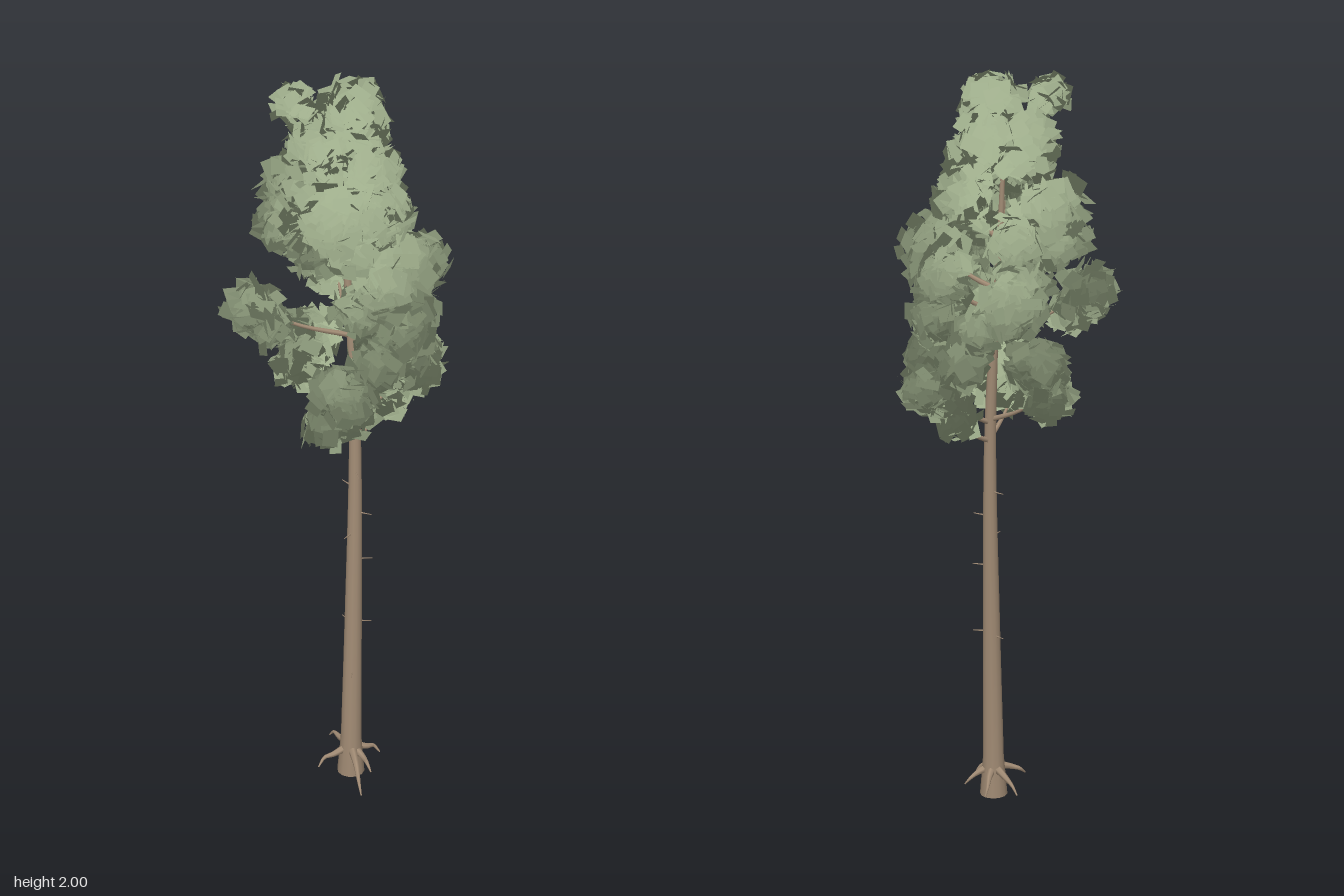
import * as THREE from 'three';
import { mergeGeometries } from 'three/addons/utils/BufferGeometryUtils.js';

const V = (x, y, z) => new THREE.Vector3(x, y, z);

// small seeded random generator
function seeded(seed) {
  return () => {
    seed = (seed * 1664525 + 1013904223) >>> 0;
    return seed / 4294967296;
  };
}

// tube along a smooth path, its radius given by radiusAt(t)
function taperedTube(points, radiusAt, steps, sides) {
  const curve = new THREE.CatmullRomCurve3(points);
  const geo = new THREE.TubeGeometry(curve, steps, 1, sides, false);
  const pos = geo.attributes.position;
  const v = V(0, 0, 0);
  for (let i = 0; i <= steps; i++) {
    const t = i / steps;
    const centre = curve.getPointAt(t);
    for (let j = 0; j <= sides; j++) {
      const k = i * (sides + 1) + j;
      v.fromBufferAttribute(pos, k).sub(centre).multiplyScalar(radiusAt(t)).add(centre);
      pos.setXYZ(k, v.x, v.y, v.z);
    }
  }
  return geo;
}

// trunk path: gentle lean toward +x
const TRUNK = [
  V(-0.05, 0, 0.043), V(-0.049, 0.1, 0.043), V(-0.036, 0.5, 0.04), V(-0.016, 1.0, 0.03),
  V(-0.008, 1.25, 0.015), V(-0.004, 1.55, -0.01), V(-0.01, 1.88, -0.02),
];
function trunkAt(y) {
  let i = 0;
  while (i < TRUNK.length - 2 && TRUNK[i + 1].y < y) i++;
  const a = TRUNK[i], b = TRUNK[i + 1];
  return a.clone().lerp(b, (y - a.y) / (b.y - a.y));
}
const trunkRadius = (t) => 0.004 + 0.026 * (1 - t) + 0.008 * Math.max(0, 1 - t / 0.06);

// foliage clumps: x, y, z, radius
const CLUMPS = [
  [0.0, 1.91, 0.01, 0.09], [0.04, 1.83, 0.0, 0.09], [-0.09, 1.93, -0.1, 0.055],
  [-0.03, 1.8, -0.07, 0.1], [0.0, 1.75, 0.06, 0.09],
  [-0.16, 1.69, 0.08, 0.095], [-0.08, 1.7, 0.11, 0.09], [0.0, 1.66, 0.09, 0.1],
  [-0.1, 1.6, 0.08, 0.08], [0.0, 1.66, -0.17, 0.1], [-0.05, 1.58, -0.16, 0.09],
  [0.04, 1.53, 0.16, 0.105], [-0.05, 1.49, 0.15, 0.095], [0.11, 1.47, 0.09, 0.09],
  [0.13, 1.59, -0.15, 0.08], [0.12, 1.42, -0.14, 0.095], [0.05, 1.48, -0.12, 0.09],
  [-0.2, 1.41, -0.15, 0.08], [-0.17, 1.36, -0.12, 0.065], [-0.07, 1.42, 0.08, 0.07],
  [0.1, 1.36, 0.11, 0.085], [0.02, 1.35, 0.14, 0.095], [-0.04, 1.27, 0.12, 0.085],
  [-0.16, 1.22, 0.1, 0.09], [-0.1, 1.16, 0.07, 0.085], [-0.16, 1.13, 0.05, 0.07],
  [0.08, 1.24, 0.14, 0.09], [0.13, 1.17, 0.07, 0.075], [0.21, 1.2, 0.07, 0.07],
  [0.1, 1.1, 0.05, 0.055], [0.03, 1.25, -0.15, 0.09], [0.0, 1.18, -0.16, 0.08],
  [0.14, 1.26, 0.0, 0.075], [0.14, 1.36, -0.05, 0.07],
];

// one clump of flat leaf cards, facing out of the clump and shaded outward from the crown
const CROWN = V(0, 1.48, 0);
function leafClump([cx, cy, cz, r], seed) {
  const rand = seeded(seed);
  const positions = [], normals = [];
  const centre = V(cx, cy, cz);
  const count = Math.round(15000 * r * r);
  for (let i = 0; i < count; i++) {
    // spread evenly in direction, loosely in depth
    const h = 1 - 2 * (i + 0.5) / count;
    const a = i * 2.39996;
    const s = Math.sqrt(1 - h * h);
    const dir = V(s * Math.cos(a), h, s * Math.sin(a));
    const p = centre.clone().addScaledVector(dir, r * (0.42 + 0.48 * rand()));
    // tangent card with a random tilt and spin
    const face = dir.clone().add(V(rand() - 0.5, rand() - 0.5, rand() - 0.5).multiplyScalar(1.7)).normalize();
    const q = new THREE.Quaternion().setFromUnitVectors(V(0, 0, 1), face);
    const spin = rand() * Math.PI * 2;
    const w = 0.014 + 0.009 * rand(), l = 0.018 + 0.013 * rand();
    const corners = [[-w, -l], [w, -l], [w, l], [-w, l]].map(([x, y]) =>
      V(x, y, 0).applyAxisAngle(V(0, 0, 1), spin).applyQuaternion(q).add(p));
    const n = p.clone().sub(CROWN).multiply(V(1, 0.6, 1)).normalize().addScaledVector(dir, 0.4).normalize();
    for (const k of [0, 1, 2, 0, 2, 3]) {
      positions.push(...corners[k].toArray());
      normals.push(n.x, n.y, n.z);
    }
  }
  const geo = new THREE.BufferGeometry();
  geo.setAttribute('position', new THREE.Float32BufferAttribute(positions, 3));
  geo.setAttribute('normal', new THREE.Float32BufferAttribute(normals, 3));
  return geo;
}

export function createModel() {
  const bark = new THREE.MeshStandardMaterial({ color: 0xa28c75, side: THREE.DoubleSide });
  const leaves = new THREE.MeshStandardMaterial({ color: 0x9dac8a, side: THREE.DoubleSide });
  bark.name = 'bark';
  leaves.name = 'leaves';

  const tree = new THREE.Group();
  tree.name = 'tree';
  const add = (name, geo, mat) => {
    const mesh = new THREE.Mesh(geo, mat);
    mesh.name = name;
    tree.add(mesh);
  };

  // trunk and its flat underside
  add('trunk', taperedTube(TRUNK, trunkRadius, 48, 12), bark);
  const base = new THREE.CircleGeometry(0.037, 12).rotateX(Math.PI / 2);
  base.translate(-0.05, 0.001, 0.043);
  add('trunkBase', base, bark);

  // exposed roots arching out from the trunk foot: end points
  const roots = [
    [-0.15, 0.02, 0.155], [0.035, 0.03, 0.01], [0.0, 0.04, -0.07],
    [-0.14, 0.04, 0.0], [0.02, 0.04, 0.09], [-0.06, 0.03, 0.12],
  ].map(([x, y, z]) => {
    const start = trunkAt(0.085), end = V(x, y, z);
    const mid = start.clone().lerp(end, 0.55).setY(0.068);
    const bend = start.clone().lerp(end, 0.8).setY(y + 0.02).add(V(0.006, 0, -0.006));
    return taperedTube([start, mid, bend, end], (t) => 0.012 * (1 - t) + 0.002, 10, 6);
  });
  add('roots', mergeGeometries(roots), bark);

  // dead twig stubs on the bare trunk: height, direction x, direction z
  const twigs = [
    [0.33, -1, 0.7], [0.48, 0.6, 0.9], [0.47, 0.3, -1], [0.67, 0.3, 0.5], [0.75, -1, 0.1],
    [0.81, 0.2, 1], [0.88, 0.2, -1], [0.93, -0.8, 0.9],
  ].map(([y, dx, dz]) => {
    const start = trunkAt(y);
    const dir = V(dx, 0.05, dz).normalize();
    return taperedTube([start, start.clone().addScaledVector(dir, 0.05)],
      (t) => 0.003 - 0.002 * t, 2, 5);
  });
  add('twigs', mergeGeometries(twigs), bark);

  // branches reaching from the trunk into every second clump
  const branches = CLUMPS.filter((_, i) => i > 4 && i % 2).map(([x, y, z]) => {
    const start = trunkAt(Math.max(1.02, y - 0.1)), end = V(x, y, z);
    const mid = start.clone().lerp(end, 0.5).add(V(0, -0.012, 0));
    return taperedTube([start, mid, end], (t) => 0.008 - 0.006 * t, 8, 6);
  });
  add('branches', mergeGeometries(branches), bark);

  // crown
  CLUMPS.forEach((clump, i) => add('leafClump' + (i + 1), leafClump(clump, 17 + i * 101), leaves));
  return tree;
}
